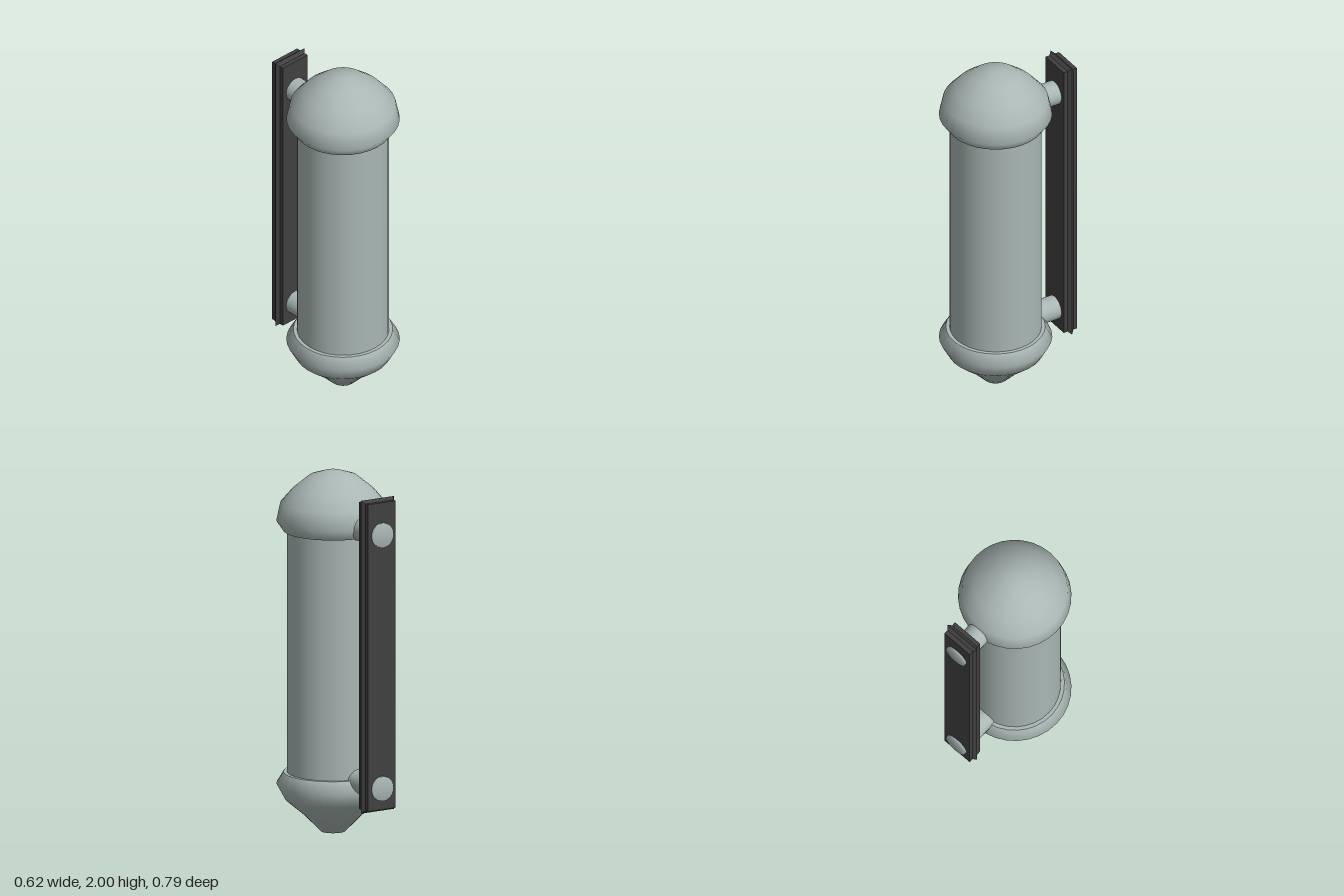
import * as THREE from 'three';

const shell = new THREE.MeshStandardMaterial({ name: 'paleGreyGreen', color: 0xa9b7b4 });
const dark = new THREE.MeshStandardMaterial({ name: 'charcoal', color: 0x404040 });

// Turned solid from [radius, height] pairs, listed bottom to top
const turned = (profile, segments) =>
  new THREE.LatheGeometry(profile.map(([r, y]) => new THREE.Vector2(r, y)), segments);

export function createModel() {
  const model = new THREE.Group();
  model.name = 'wallCylinder';
  const add = (name, geometry, material, x, y, z) => {
    const mesh = new THREE.Mesh(geometry, material);
    mesh.name = name;
    mesh.position.set(x, y, z);
    model.add(mesh);
  };
  const axisZ = 0.085;

  // Main tube between the two caps
  add('body', new THREE.CylinderGeometry(0.25, 0.25, 1.38, 32, 1, true), shell, 0, 1, axisZ);

  // Domed top and pointed base, each with a flared rim
  add('topCap', turned([
    [0.27, 1.67], [0.308, 1.725], [0.287, 1.822], [0.22, 1.9], [0.13, 1.973], [0.045, 2], [0, 2],
  ], 32), shell, 0, 0, axisZ);
  add('topCapUnderside', new THREE.RingGeometry(0.24, 0.27, 32).rotateX(Math.PI / 2), shell, 0, 1.67, axisZ);
  add('bottomCap', turned([
    [0, 0], [0.068, 0], [0.155, 0.09], [0.262, 0.18], [0.308, 0.265], [0.27, 0.33],
  ], 32), shell, 0, 0, axisZ);
  add('bottomCapLedge', new THREE.RingGeometry(0.24, 0.27, 32).rotateX(-Math.PI / 2), shell, 0, 0.33, axisZ);

  // Pegs running backwards through the mounting bar
  const peg = turned([[0.068, 0], [0.068, 0.28], [0.068, 0.296], [0, 0.297]], 24).rotateX(-Math.PI / 2);
  add('upperPeg', peg, shell, 0, 1.725, -0.1);
  add('lowerPeg', peg, shell, 0, 0.318, -0.1);

  // Upright mounting bar
  const barY = 1.0525, halfW = 0.092, halfH = 0.8525;
  add('mountingBar', new THREE.BoxGeometry(halfW * 2, halfH * 2, 0.085), dark, 0, barY, -0.3375);

  // Sharp ridge running round the edge of the bar
  const outline = new THREE.Shape([[-1, -1], [1, -1], [1, 1], [-1, 1]]
    .map(([x, y]) => new THREE.Vector2(x * halfW, y * halfH)));
  const ridge = new THREE.ExtrudeGeometry(outline, {
    depth: 0.001, bevelEnabled: true, bevelSegments: 1, bevelThickness: 0.018, bevelSize: 0.016,
  });
  add('barRidge', ridge, dark, 0, barY, -0.338);

  return model;
}
